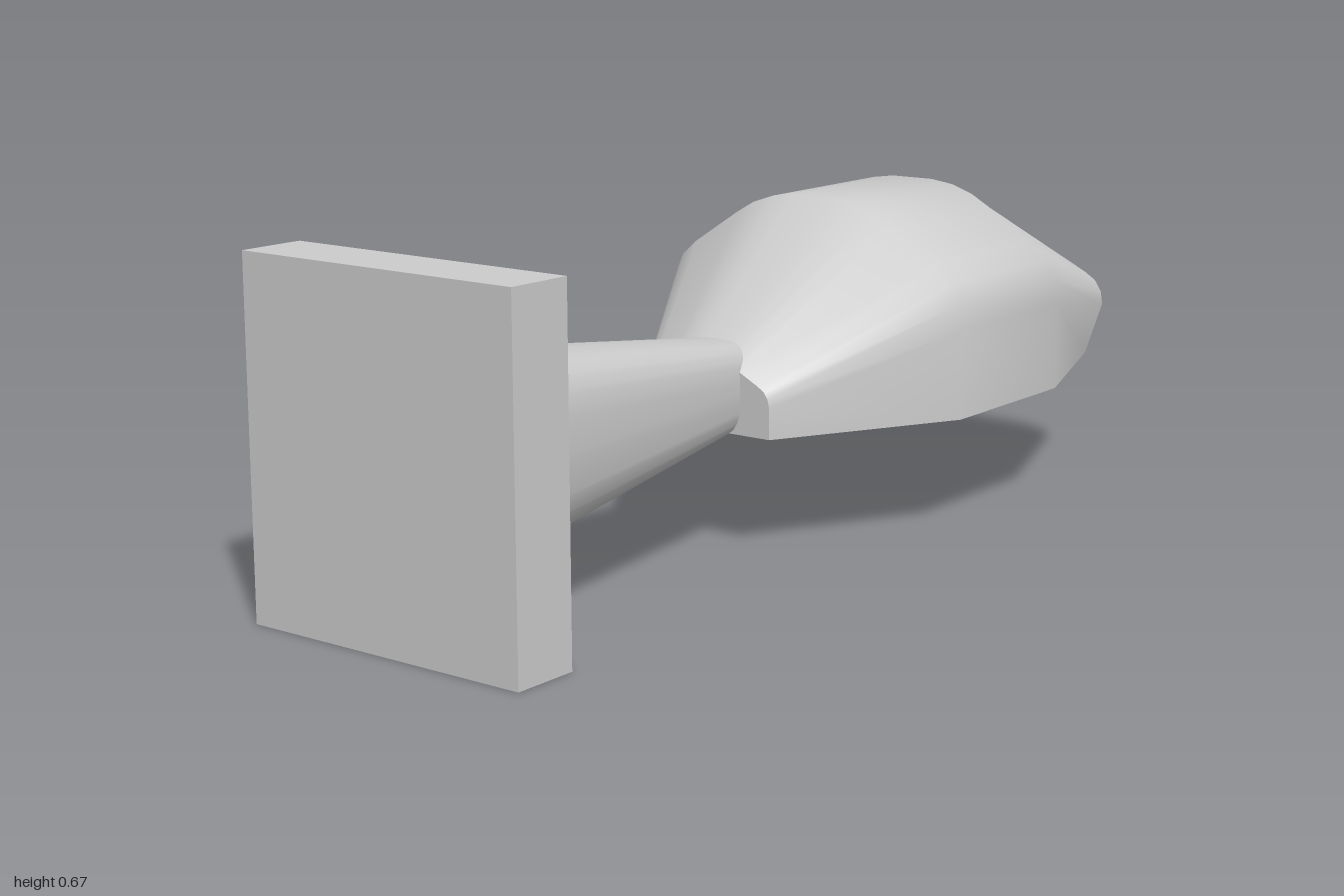
import * as THREE from 'three';
import { toCreasedNormals } from 'three/addons/utils/BufferGeometryUtils.js';

const material = new THREE.MeshStandardMaterial({ color: 0xcccccc });

// Closed loft along x; each section is { x, ring: [[z, y], ...] }, rings run from +z over the top to -z
function loft(sections) {
  const n = sections[0].ring.length;
  const last = (sections.length - 1) * n;
  const positions = sections.flatMap(({ x, ring }) => ring.flatMap(([z, y]) => [x, y, z]));
  const index = [];
  for (let s = 0; s < last; s += n) {
    for (let j = 0; j < n; j++) {
      const a = s + j, c = s + ((j + 1) % n);
      index.push(a, a + n, c, c, a + n, c + n);
    }
  }
  for (let j = 1; j < n - 1; j++) {
    index.push(0, j, j + 1, last, last + j + 1, last + j);
  }
  const geometry = new THREE.BufferGeometry();
  geometry.setAttribute('position', new THREE.Float32BufferAttribute(positions, 3));
  geometry.setIndex(index);
  return toCreasedNormals(geometry, 0.8);
}

// Rounded-square ring for the arm
function squircle(cz, cy, rz, ry, count = 24) {
  const soft = (v) => Math.sign(v) * Math.abs(v) ** 0.62;
  return Array.from({ length: count }, (_, i) => {
    const a = (i / count) * Math.PI * 2;
    return [cz + rz * soft(Math.cos(a)), cy + ry * soft(Math.sin(a))];
  });
}

export function createModel() {
  const group = new THREE.Group();
  const add = (name, geometry) => {
    const mesh = new THREE.Mesh(geometry, material);
    mesh.name = name;
    group.add(mesh);
    return mesh;
  };

  // Mounting plate
  add('mountingPlate', new THREE.BoxGeometry(0.135, 0.673, 0.623))
    .position.set(-0.9325, 0.3365, -0.0085);

  // Tapered arm, running a little way into the head
  add('arm', loft([
    { x: -0.867, ring: squircle(0.013, 0.321, 0.164, 0.191) },
    { x: 0, ring: squircle(0.008, 0.325, 0.075, 0.079) },
  ]));

  // Flat-bottomed head: half of the widest section, mirrored
  const base = 0.24;
  const half = [
    [0.363, 0.24], [0.363, 0.42], [0.354, 0.47], [0.335, 0.508], [0.3, 0.538],
    [0.19, 0.61], [0.15, 0.633], [0.1, 0.65], [0.05, 0.657],
  ];
  const wide = [...half, ...half.slice().reverse().map(([z, y]) => [-z, y])];
  const scaled = (sz, sy, cz) => wide.map(([z, y]) => [cz + z * sz, base + (y - base) * sy]);

  // The tip is slightly lopsided
  const tip = [
    [0.22, 0.24], [0.26, 0.355], [0.256, 0.382], [0.24, 0.407], [0.215, 0.423],
    [0.14, 0.446], [0.11, 0.453], [0.08, 0.458], [0.045, 0.46],
    [-0.06, 0.46], [-0.095, 0.457], [-0.12, 0.452], [-0.15, 0.445],
    [-0.225, 0.421], [-0.252, 0.404], [-0.27, 0.38], [-0.277, 0.355], [-0.277, 0.24],
  ];
  add('head', loft([
    { x: -0.122, ring: scaled(0.433, 0.34, 0.008) },
    { x: 0.25, ring: wide },
    { x: 0.625, ring: scaled(1, 1, -0.003) },
    { x: 1, ring: tip },
  ]));

  return group;
}
